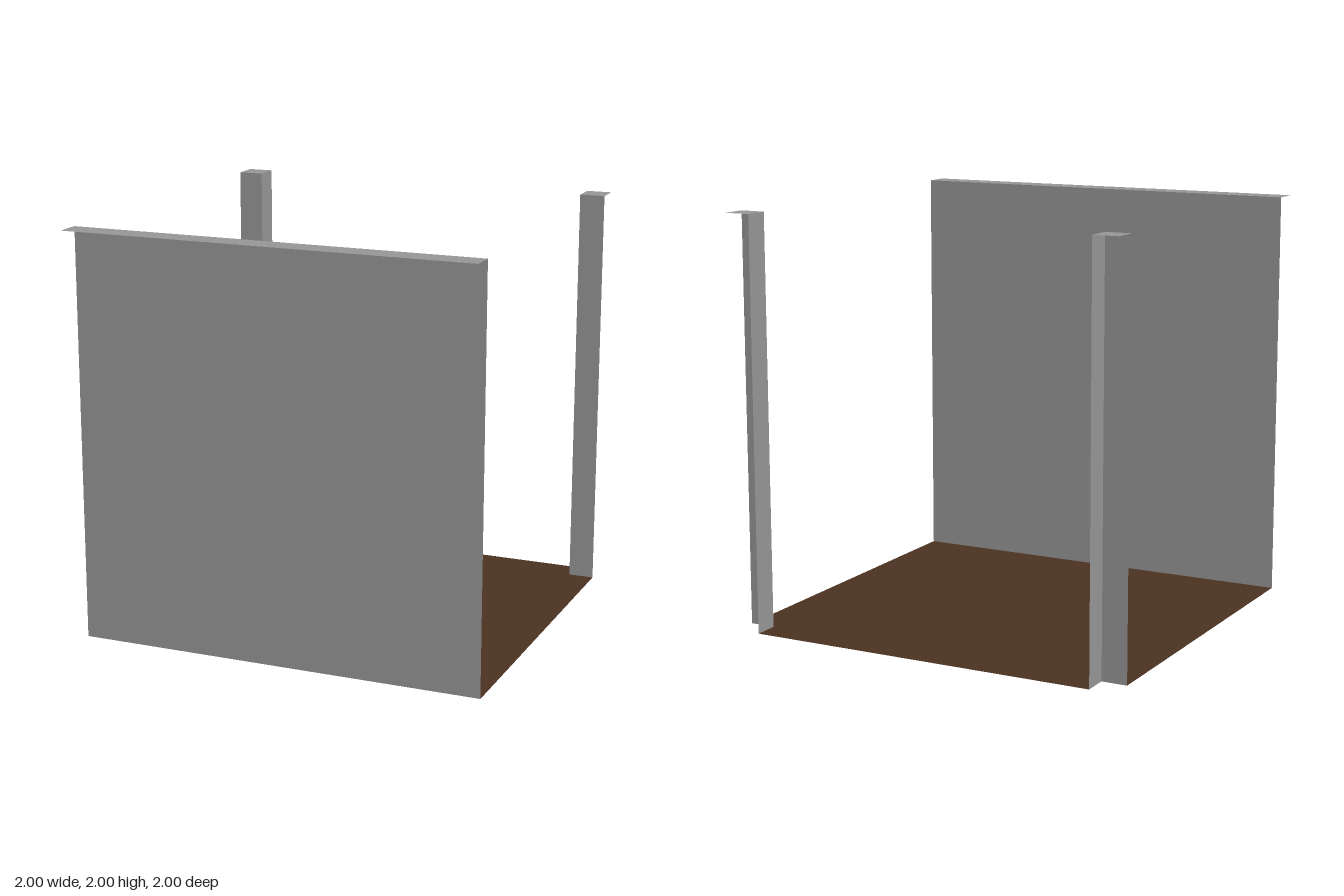
import * as THREE from 'three';

const T = 0.125;      // rim and post thickness
const I = 1 - T;      // inner face position
const H = 2;          // height

export function createModel() {
  const model = new THREE.Group();
  const stone = new THREE.MeshStandardMaterial({ color: 0x989898, side: THREE.DoubleSide });
  stone.name = 'grey stone';
  const wood = new THREE.MeshStandardMaterial({ color: 0x4d3322, side: THREE.DoubleSide });
  wood.name = 'dark brown';

  const add = (parent, name, geometry, material, x, y, z) => {
    const mesh = new THREE.Mesh(geometry, material);
    mesh.name = name;
    mesh.position.set(x, y, z);
    parent.add(mesh);
  };
  const flat = (w, d) => new THREE.PlaneGeometry(w, d).rotateX(-Math.PI / 2);

  // Floor sheet, notched at the two back corners around the posts
  const outline = [[-1, -I], [1, -I], [1, I], [I, I], [I, 1], [-I, 1], [-I, I], [-1, I]];
  const shape = new THREE.Shape(outline.map(([x, y]) => new THREE.Vector2(x, y)));
  add(model, 'floor', new THREE.ShapeGeometry(shape).rotateX(-Math.PI / 2), wood, 0, 0, 0);

  // Front wall: a single sheet with a ledge on top reaching forward
  add(model, 'frontWall', new THREE.PlaneGeometry(2, H).rotateY(Math.PI), stone, 0, H / 2, I);
  add(model, 'frontLedge', flat(2, T), stone, 0, H, 1 - T / 2);

  // Back corner posts: two inner faces and a cap, open on the outside
  for (const side of [-1, 1]) {
    const post = new THREE.Group();
    post.name = side > 0 ? 'leftBackPost' : 'rightBackPost';
    const mid = 1 - T / 2;
    add(post, 'postFront', new THREE.PlaneGeometry(T, H), stone, side * mid, H / 2, -I);
    add(post, 'postInnerSide', new THREE.PlaneGeometry(T, H).rotateY(-side * Math.PI / 2),
      stone, side * I, H / 2, -mid);
    add(post, 'postCap', flat(T, T), stone, side * mid, H, -mid);
    model.add(post);
  }
  return model;
}
